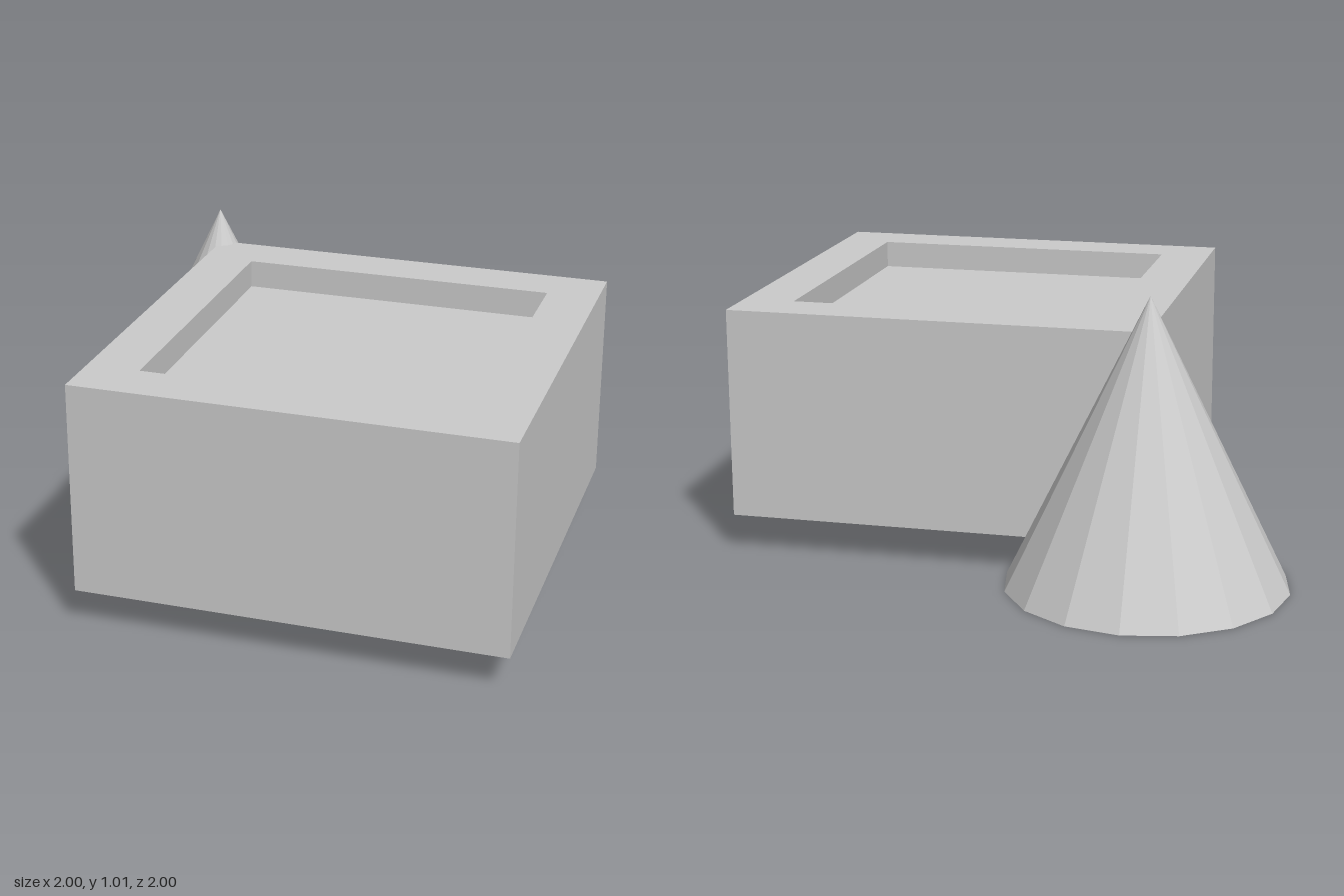
import * as THREE from 'three';

export function createModel() {
  const model = new THREE.Group();
  const grey = new THREE.MeshStandardMaterial({ color: 0xcccccc, flatShading: true });
  grey.name = 'plain grey';

  const addPart = (name, geometry, x, y, z) => {
    const flat = geometry.toNonIndexed();
    flat.computeVertexNormals();
    const mesh = new THREE.Mesh(flat, grey);
    mesh.name = name;
    mesh.position.set(x, y, z);
    model.add(mesh);
  };

  // Square tray: a four-sided lathe with a shallow recess in its top
  const half = 0.75, recessHalf = 0.565, height = 0.753, depth = 0.1;
  const profile = [
    [0, 0], [half, 0], [half, height],
    [recessHalf, height], [recessHalf, height - depth], [0, height - depth],
  ].map(([r, y]) => new THREE.Vector2(r * Math.SQRT2, y));
  const tray = new THREE.LatheGeometry(profile, 4).rotateY(Math.PI / 4);
  addPart('recessedBlock', tray, 0.25, 0.133, 0.25);

  // Sixteen-sided cone standing at the block's back corner
  const coneHeight = 1.013;
  const cone = new THREE.ConeGeometry(0.495, coneHeight, 16);
  addPart('cone', cone, -0.505, coneHeight / 2, -0.505);

  return model;
}
